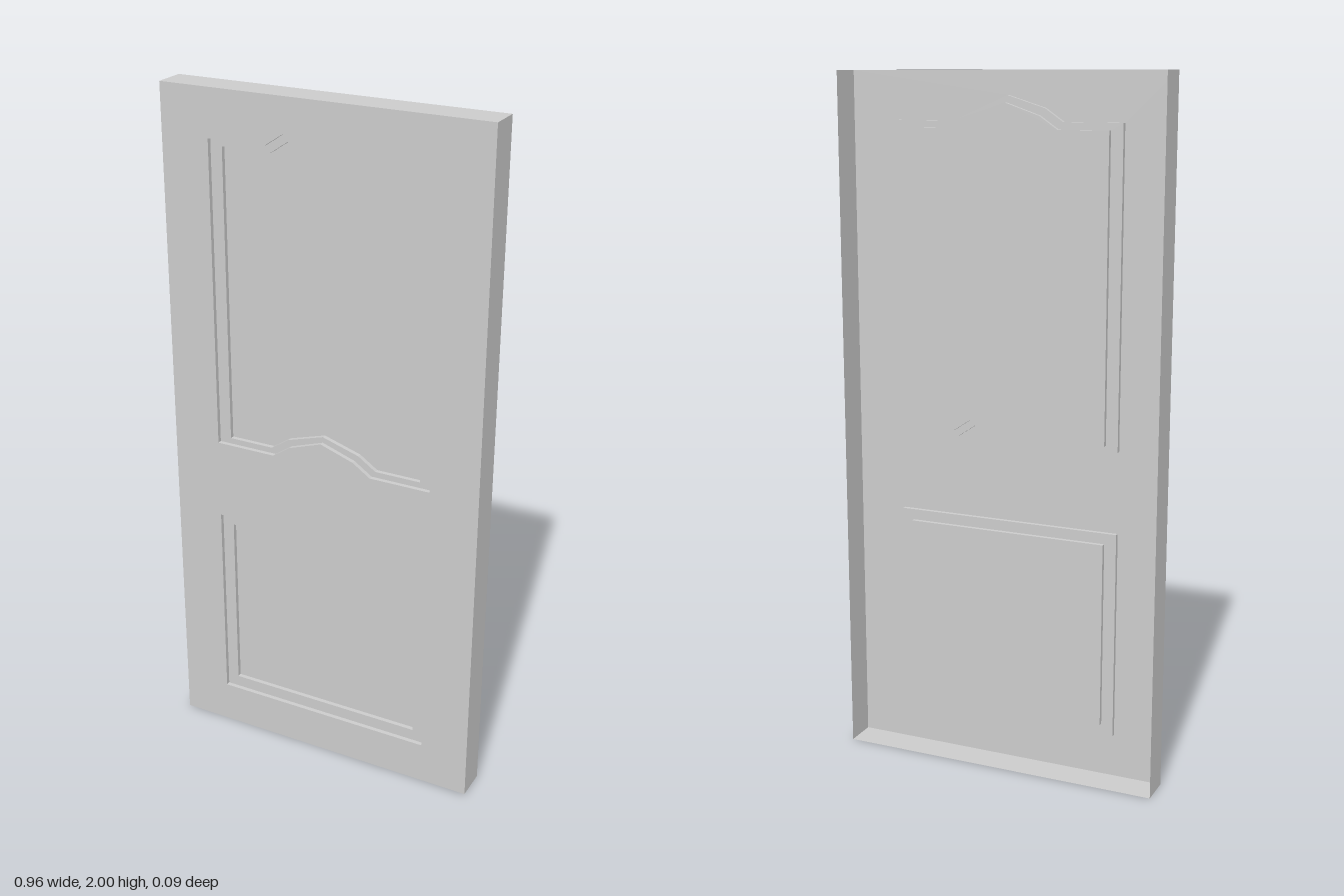
import * as THREE from 'three';

const W = 0.479, H = 2, Z = 0.0475, STEP = 0.013;

// rectangular outline, counter-clockwise
const rect = (x, y0, y1) => [[-x, y0], [x, y0], [x, y1], [-x, y1]];

// outline whose bottom and top edges rise to a shallow pointed arch
function arched(x, y0, y1, lowShoulder, highShoulder) {
  const arch = (y, s) => [[-x, y], [-s, y], [-s + 0.053, y + 0.036], [0, y + 0.07],
    [s - 0.053, y + 0.036], [s, y], [x, y]];
  return [...arch(y0, lowShoulder), ...arch(y1, highShoulder).reverse()];
}

export function createModel() {
  const group = new THREE.Group();
  const material = new THREE.MeshStandardMaterial({
    color: 0xcccccc, side: THREE.DoubleSide, flatShading: true,
  });
  const add = (name, geometry, z = 0) => {
    const mesh = new THREE.Mesh(geometry, material);
    mesh.name = name;
    mesh.position.z = z;
    group.add(mesh);
  };
  const vectors = (pts) => pts.map(([x, y]) => new THREE.Vector2(x, y));

  // flat sheet with cut-outs
  const sheet = (name, outline, holes, z) => {
    const shape = new THREE.Shape(vectors(outline));
    holes.forEach((h) => shape.holes.push(new THREE.Path(vectors(h))));
    add(name, new THREE.ShapeGeometry(shape), z);
  };

  // upright band following an outline from zBack to zFront
  const band = (name, outline, zBack, zFront, outward) => {
    const pos = [];
    outline.forEach(([ax, ay], i) => {
      const [bx, by] = outline[(i + 1) % outline.length];
      const a = [ax, ay, zBack], b = [bx, by, zBack], c = [bx, by, zFront], d = [ax, ay, zFront];
      pos.push(...(outward ? [a, b, c, a, c, d] : [a, c, b, a, d, c]).flat());
    });
    const geometry = new THREE.BufferGeometry();
    geometry.setAttribute('position', new THREE.Float32BufferAttribute(pos, 3));
    geometry.computeVertexNormals();
    add(name, geometry);
  };

  const panels = [
    { name: 'upper', outer: arched(0.335, 0.972, 1.864, 0.153, 0.164),
      inner: arched(0.3, 0.989, 1.844, 0.164, 0.153) },
    { name: 'lower', outer: rect(0.335, 0.127, 0.735), inner: rect(0.3, 0.162, 0.704) },
  ];

  // door face and its edge flange, open at the back
  const face = rect(W, 0, H);
  sheet('doorFace', face, panels.map((p) => p.outer), Z);
  band('doorEdge', face, -Z, Z, true);

  // each panel sinks in two steps
  for (const { name, outer, inner } of panels) {
    band(name + 'OuterStep', outer, Z - STEP, Z, false);
    sheet(name + 'Ledge', outer, [inner], Z - STEP);
    band(name + 'InnerStep', inner, Z - 2 * STEP, Z - STEP, false);
    sheet(name + 'Panel', inner, [], Z - 2 * STEP);
  }
  return group;
}
